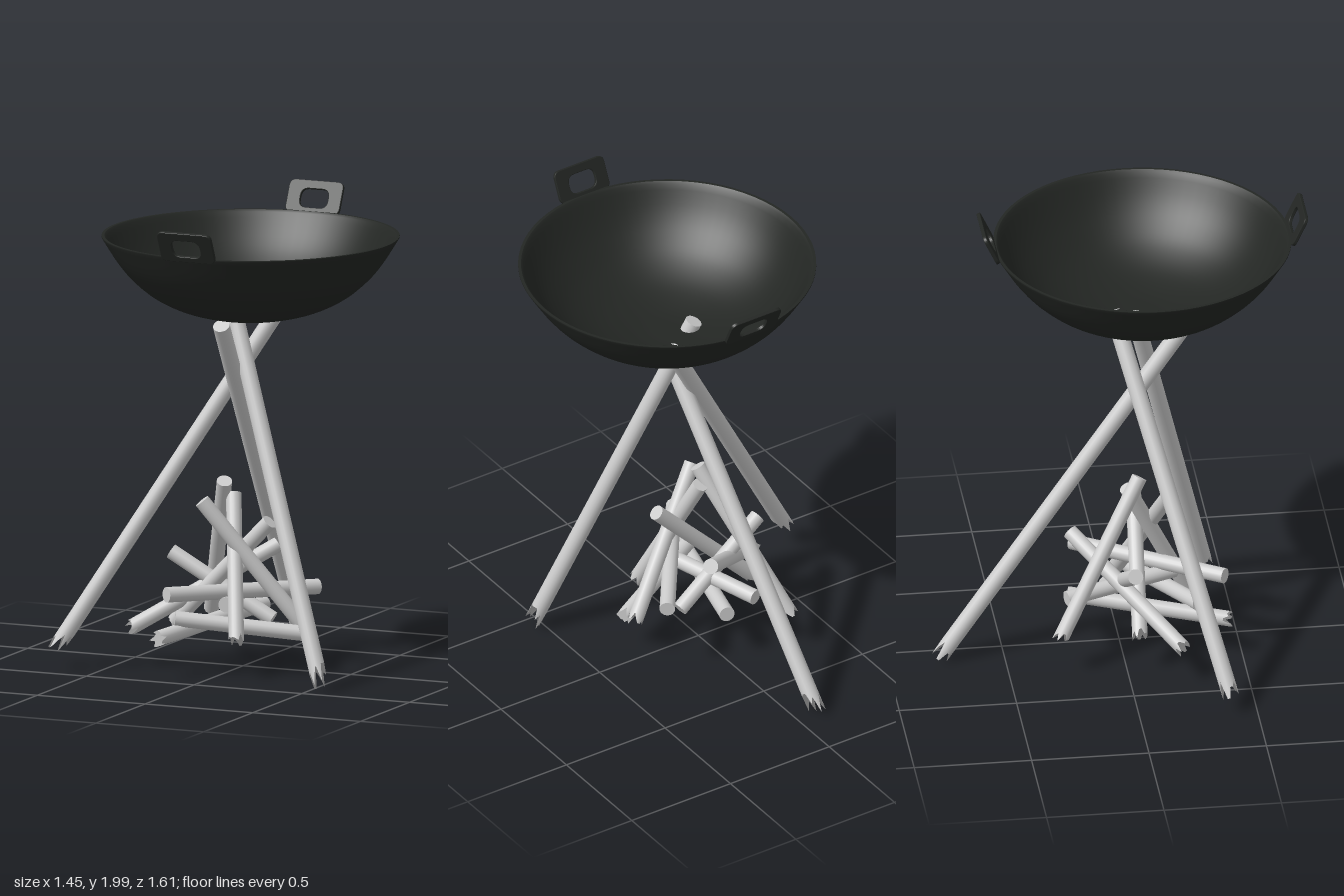
import * as THREE from 'three';

const wood = new THREE.MeshStandardMaterial({ color: 0xcccccc });
const iron = new THREE.MeshStandardMaterial({ color: 0x232623, side: THREE.DoubleSide });
const UP = new THREE.Vector3(0, 1, 0);

// Round stick from a sawn top to a lower end, splintered when splinter > 0
function stick(name, top, bottom, radius, splinter) {
  const a = new THREE.Vector3(...top);
  const b = new THREE.Vector3(...bottom);
  const axis = a.clone().sub(b);
  const length = axis.length();
  const sides = 18;
  const geo = new THREE.CylinderGeometry(radius, radius, length, sides);
  if (splinter > 0) {
    const pos = geo.attributes.position;
    for (let i = 0; i < pos.count; i++) {
      if (pos.getY(i) > 0) continue;
      const x = pos.getX(i), z = pos.getZ(i);
      const k = (Math.round(Math.atan2(z, x) / (Math.PI * 2) * sides) + sides) % sides;
      const onAxis = Math.hypot(x, z) < radius / 2;
      // Alternating long and short teeth around the broken end
      const lift = onAxis ? 1 : k % 2 ? 0.75 + 0.25 * Math.sin(k * 2.3) : 0.25 + 0.25 * Math.sin(k * 1.7);
      pos.setY(i, -length / 2 + splinter * lift);
    }
  }
  const mesh = new THREE.Mesh(geo, wood);
  mesh.name = name;
  mesh.position.copy(a).add(b).multiplyScalar(0.5);
  mesh.quaternion.setFromUnitVectors(UP, axis.normalize());
  return mesh;
}

// Rounded rectangle outline, used for the handle and its opening
function roundedRect(target, x0, y0, x1, y1, r) {
  target.moveTo(x0 + r, y0);
  target.lineTo(x1 - r, y0);
  target.quadraticCurveTo(x1, y0, x1, y0 + r);
  target.lineTo(x1, y1 - r);
  target.quadraticCurveTo(x1, y1, x1 - r, y1);
  target.lineTo(x0 + r, y1);
  target.quadraticCurveTo(x0, y1, x0, y1 - r);
  target.lineTo(x0, y0 + r);
  target.quadraticCurveTo(x0, y0, x0 + r, y0);
  return target;
}

function createPan() {
  const pan = new THREE.Group();
  pan.name = 'pan';
  pan.position.set(0.085, 0, 0.11);

  // Bowl: outer curve, flat rim, then the inner curve back to the centre
  const curve = new THREE.SplineCurve([
    [0, 1.52], [0.13, 1.526], [0.28, 1.56], [0.4, 1.615], [0.49, 1.685], [0.56, 1.765], [0.63, 1.875],
  ].map(p => new THREE.Vector2(...p)));
  const outer = curve.getPoints(30);
  outer[0].x = 0;
  const inner = outer.map(p => new THREE.Vector2(p.x * 0.98, p.y + 0.012)).reverse();
  inner[0].y = 1.88;
  const rim = [new THREE.Vector2(0.63, 1.88), new THREE.Vector2(0.63, 1.88),
    new THREE.Vector2(0.618, 1.88)];
  const bowl = new THREE.Mesh(new THREE.LatheGeometry([...outer, ...rim, ...inner], 72), iron);
  bowl.name = 'bowl';
  pan.add(bowl);

  // Two loop handles leaning outward
  const shape = roundedRect(new THREE.Shape(), -0.125, 0, 0.125, 0.145, 0.03);
  shape.holes.push(roundedRect(new THREE.Path(), -0.065, 0.025, 0.065, 0.108, 0.035));
  const handleGeo = new THREE.ExtrudeGeometry(shape, {
    depth: 0.01, bevelThickness: 0.003, bevelSize: 0.003, bevelOffset: -0.003, bevelSegments: 2, curveSegments: 8,
  });
  handleGeo.translate(0, 0, -0.005);
  handleGeo.rotateX(0.44);
  for (const side of [1, -1]) {
    const handle = new THREE.Mesh(handleGeo, iron);
    handle.name = side > 0 ? 'frontHandle' : 'backHandle';
    handle.position.set(0, 1.868, side * 0.625);
    if (side < 0) handle.rotation.y = Math.PI;
    pan.add(handle);
  }
  return pan;
}

export function createModel() {
  const model = new THREE.Group();
  model.name = 'campfirePan';
  model.add(createPan());

  // Three crossing poles
  const tripod = new THREE.Group();
  tripod.name = 'tripod';
  tripod.add(
    stick('rightPole', [0.14, 1.52, -0.01], [-0.7, 0.08, 0.39], 0.036, 0.1),
    stick('leftPole', [-0.02, 1.57, 0.065], [0.56, 0.03, 0.435], 0.036, 0.1),
    stick('backPole', [0.04, 1.52, 0.31], [-0.09, 0.02, -0.78], 0.036, 0.1),
  );
  model.add(tripod);

  // Pile of firewood: top end, lower end, splinter depth
  const logs = [
    [[-0.05, 0.81, 0.08], [-0.28, 0.17, -0.29], 0.04],
    [[-0.1, 0.74, 0.2], [0.31, 0.18, 0.02], 0.04],
    [[-0.03, 0.75, 0.03], [0.11, 0.16, 0.31], 0.04],
    [[0.16, 0.65, 0.08], [-0.31, 0.17, 0.05], 0.04],
    [[0.07, 0.5, -0.2], [-0.43, 0.17, 0.23], 0.04],
    [[-0.32, 0.48, 0.03], [0.12, 0.21, -0.04], 0],
    [[-0.16, 0.37, 0.43], [0.27, 0.34, -0.17], 0],
    [[-0.17, 0.25, 0.32], [0.34, 0.18, 0.07], 0.04],
    [[0.03, 0.31, 0.24], [-0.13, 0.29, -0.24], 0],
    [[0.0, 0.24, -0.22], [-0.2, 0.18, 0.46], 0.04],
  ];
  const firewood = new THREE.Group();
  firewood.name = 'firewood';
  logs.forEach(([top, bottom, splinter], i) => {
    firewood.add(stick('log' + (i + 1), top, bottom, 0.033, splinter));
  });
  model.add(firewood);
  return model;
}
